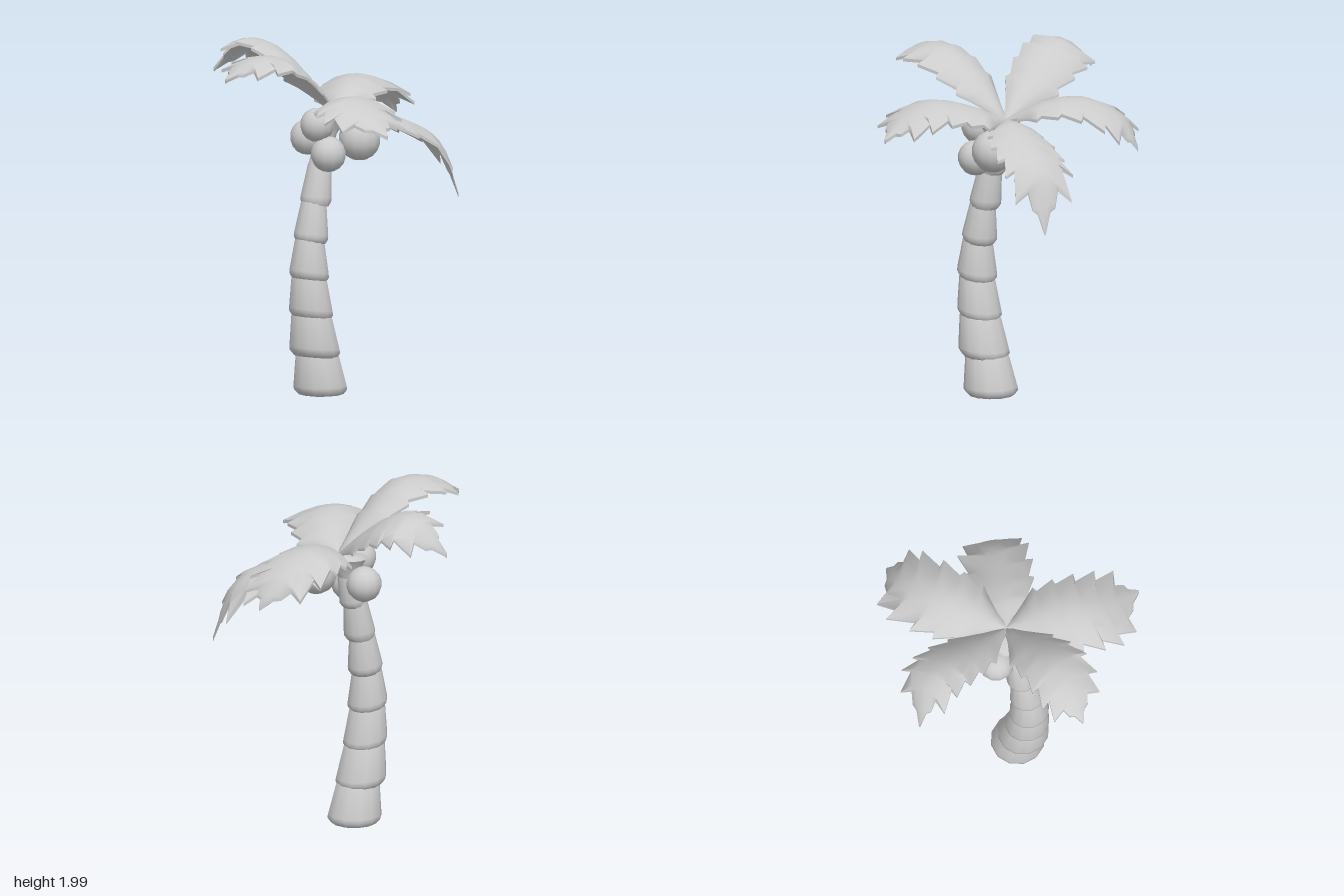
import * as THREE from 'three';
import { toCreasedNormals } from 'three/addons/utils/BufferGeometryUtils.js';

const material = new THREE.MeshStandardMaterial({ color: 0xcccccc });

function addMesh(parent, name, geometry) {
  const mesh = new THREE.Mesh(geometry, material);
  mesh.name = name;
  parent.add(mesh);
  return mesh;
}

// Tapered, rounded trunk piece that leans from centre x0 to x1
function trunkPiece({ y0, x0, r0, y1, x1, r1, tilt = 0 }) {
  const h = y1 - y0;
  const profile = [[0, 0], [r0 * 0.84, 0], [r0 * 0.99, 0.09 * h + 0.005], [r0 * 0.98, 0.2 * h],
    [r1 * 1.03, 0.88 * h], [r1 * 0.9, h], [0, h]].map(([r, y]) => new THREE.Vector2(r, y));
  const geo = new THREE.LatheGeometry(profile, 12);
  const p = geo.attributes.position;
  for (let i = 0; i < p.count; i++) {
    const x = p.getX(i), y = p.getY(i);
    p.setXYZ(i, x + THREE.MathUtils.lerp(x0, x1, y / h), y0 + y - tilt * x, p.getZ(i) * 1.02 + 0.033);
  }
  return toCreasedNormals(geo, 1.1);
}

// Leaf rows: position on the midrib, position of the edge point, half width
const leafRows = [
  [0, 0, 0.015], [0.08, 0.1, 0.06], [0.15, 0.2, 0.12], [0.2, 0.28, 0.175], [0.25, 0.3, 0.148],
  [0.32, 0.43, 0.2], [0.38, 0.44, 0.168], [0.46, 0.58, 0.212], [0.52, 0.575, 0.165],
  [0.6, 0.73, 0.208], [0.66, 0.7, 0.148], [0.73, 0.865, 0.17], [0.79, 0.83, 0.092],
  [0.86, 0.9, 0.07], [0.91, 0.92, 0.038], [1, 1, 0.005],
];

// Thin arched leaf with toothed edges, lofted along its midrib
function leafGeometry(points, roll, spread) {
  const curve = new THREE.CatmullRomCurve3(points.map((p) => new THREE.Vector3(...p)));
  const dir = points.at(-1).map((v, i) => v - points[0][i]);
  const side = new THREE.Vector3(-dir[2], 0, dir[0]).normalize().multiplyScalar(Math.cos(roll));
  side.y = Math.sin(roll);
  const across = [-1, -0.6, -0.25, 0, 0.25, 0.6, 1];
  const ring = [...across.map((v) => [v, 0]), ...across.toReversed().map((v) => [v, 1])];
  const n = ring.length, position = [], index = [];
  for (const [mid, edge, halfWidth] of leafRows) {
    const width = halfWidth * spread;
    for (const [v, under] of ring) {
      const e = v < 0 ? edge - 0.05 * Math.sin(Math.PI * edge) : edge;
      const p = curve.getPoint(THREE.MathUtils.lerp(mid, e, Math.abs(v)));
      p.addScaledVector(side, v * width);
      // Channel-shaped near the root, flatter towards the tip
      p.y -= width * (0.52 - 0.34 * edge) * v * v + under * (0.026 - 0.008 * Math.abs(v));
      position.push(p.x, p.y, p.z);
    }
  }
  for (let r = 0; r < leafRows.length - 1; r++) {
    for (let i = 0; i < n; i++) {
      const a = r * n + i, b = r * n + (i + 1) % n;
      index.push(a, b, a + n, b, b + n, a + n);
    }
  }
  // Close both ends
  const last = (leafRows.length - 1) * n;
  for (let i = 1; i < n - 1; i++) index.push(0, i + 1, i, last, last + i, last + i + 1);
  const geo = new THREE.BufferGeometry();
  geo.setAttribute('position', new THREE.Float32BufferAttribute(position, 3));
  geo.setIndex(index);
  return toCreasedNormals(geo, 0.8);
}

export function createModel() {
  const model = new THREE.Group();
  model.name = 'palmTree';

  // Stacked trunk pieces, bottom to top
  const trunk = new THREE.Group();
  trunk.name = 'trunk';
  model.add(trunk);
  [
    { y0: 0.005, x0: -0.095, r0: 0.156, y1: 0.25, x1: -0.128, r1: 0.122 },
    { y0: 0.225, x0: -0.142, r0: 0.147, y1: 0.48, x1: -0.175, r1: 0.115, tilt: 0.1 },
    { y0: 0.45, x0: -0.175, r0: 0.128, y1: 0.7, x1: -0.195, r1: 0.1, tilt: 0.15 },
    { y0: 0.67, x0: -0.195, r0: 0.115, y1: 0.92, x1: -0.188, r1: 0.083, tilt: 0.18 },
    { y0: 0.885, x0: -0.182, r0: 0.1, y1: 1.13, x1: -0.152, r1: 0.072, tilt: 0.15 },
    { y0: 1.095, x0: -0.143, r0: 0.09, y1: 1.35, x1: -0.1, r1: 0.066, tilt: 0.12 },
    { y0: 1.3, x0: -0.092, r0: 0.075, y1: 1.5, x1: -0.05, r1: 0.06, tilt: 0.1 },
  ].forEach((piece, i) => addMesh(trunk, `trunkPiece${i + 1}`, trunkPiece(piece)));

  // Flared crown that carries the leaves
  addMesh(model, 'crown', trunkPiece({ y0: 1.46, x0: -0.055, r0: 0.06, y1: 1.62, x1: -0.035, r1: 0.115, tilt: -0.1 }));

  // Coconuts: x, y, z, radius
  const coconuts = new THREE.Group();
  coconuts.name = 'coconuts';
  model.add(coconuts);
  [
    [0.037, 1.475, 0.21, 0.122], [-0.138, 1.4, 0.13, 0.102],
    [-0.162, 1.565, 0.065, 0.098], [-0.062, 1.465, -0.1, 0.102],
  ].forEach(([x, y, z, r], i) => {
    addMesh(coconuts, `coconut${i + 1}`, new THREE.SphereGeometry(r, 12, 9)).position.set(x, y, z);
  });

  // Leaves: midrib points from the shared root, sideways roll and width factor
  const leaves = new THREE.Group();
  leaves.name = 'leaves';
  model.add(leaves);
  const root = [0.01, 1.63, 0.045];
  const leafSpecs = {
    backLeaf: { roll: -0.3, spread: 0.95, path: [[0.005, 1.84, -0.22], [0, 1.96, -0.43], [-0.02, 1.97, -0.6], [-0.13, 1.8, -0.76]] },
    rightLeaf: { roll: 0.06, spread: 0.93, path: [[-0.22, 1.86, 0.02], [-0.43, 1.985, 0.015], [-0.62, 1.98, -0.03], [-0.77, 1.885, -0.085]] },
    frontRightLeaf: { roll: 0.04, spread: 1.17, path: [[-0.1, 1.73, 0.24], [-0.23, 1.77, 0.41], [-0.315, 1.71, 0.58], [-0.33, 1.6, 0.76]] },
    leftLeaf: { roll: 0.04, spread: 1.1, path: [[0.2, 1.74, -0.055], [0.4, 1.77, -0.145], [0.63, 1.68, -0.205], [0.77, 1.52, -0.18]] },
    frontLeftLeaf: { roll: 0.12, spread: 1, path: [[0.15, 1.64, 0.15], [0.32, 1.57, 0.27], [0.49, 1.45, 0.385], [0.58, 1.13, 0.475]] },
  };
  for (const [name, { path, roll, spread }] of Object.entries(leafSpecs)) {
    addMesh(leaves, name, leafGeometry([root, ...path], roll, spread));
  }
  return model;
}
